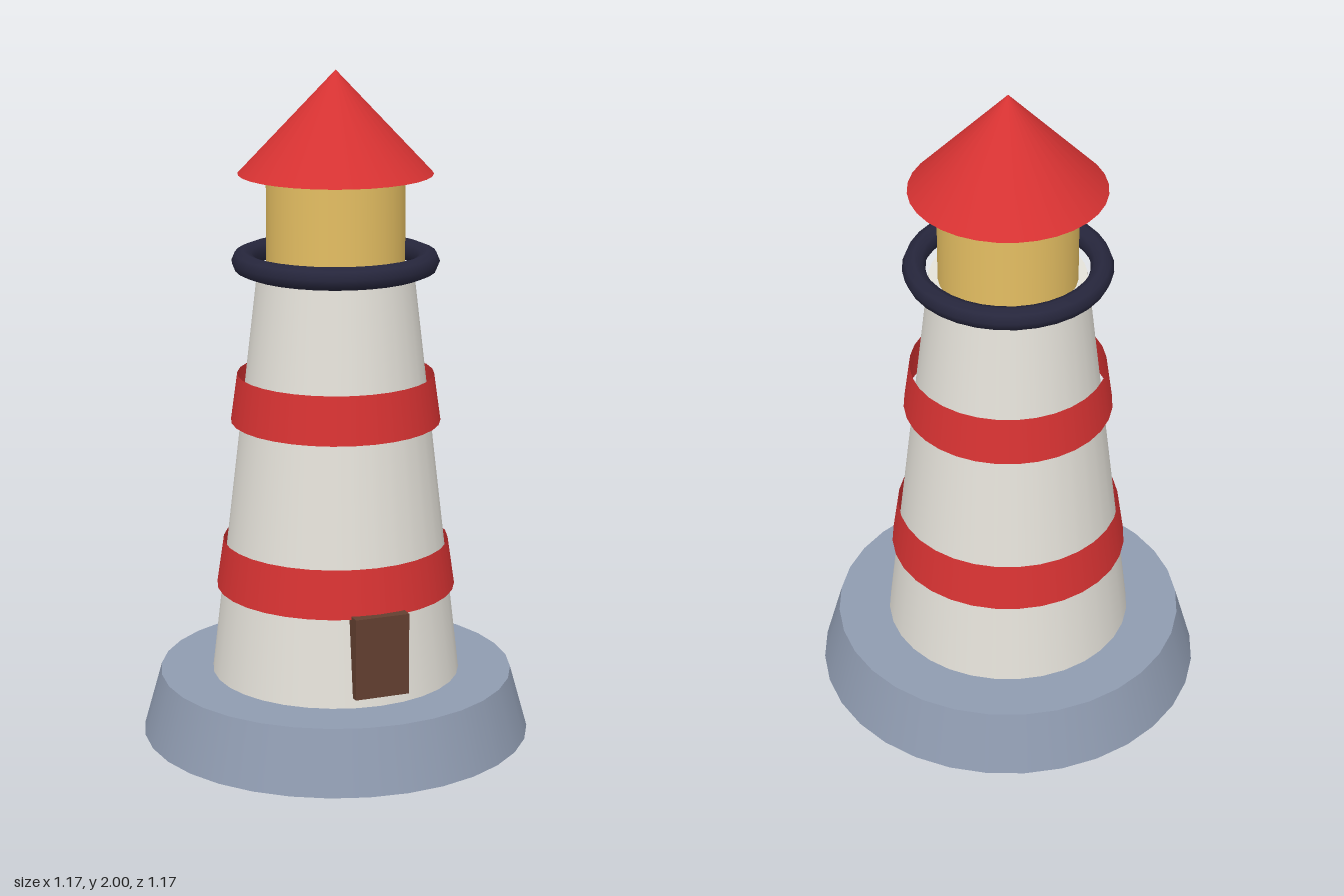
import * as THREE from 'three';

const SEG = 32;

function mat(name, color) {
  const m = new THREE.MeshStandardMaterial({ color });
  m.name = name;
  return m;
}

export function createModel() {
  const group = new THREE.Group();
  group.name = 'lighthouse';

  const stone = mat('stone', 0x8f9bb0);
  const white = mat('whitewash', 0xe4e1d9);
  const red = mat('red', 0xd63232);
  const glow = mat('lanternYellow', 0xe4be62);
  const iron = mat('darkIron', 0x26263c);
  const wood = mat('wood', 0x633f30);
  red.side = THREE.DoubleSide;

  const add = (name, geometry, material, y, z = 0) => {
    const mesh = new THREE.Mesh(geometry, material);
    mesh.name = name;
    mesh.position.set(0, y, z);
    group.add(mesh);
    return mesh;
  };

  // Tapered round section between two heights
  const section = (name, material, y0, y1, r0, r1, open = false) =>
    add(name, new THREE.CylinderGeometry(r1, r0, y1 - y0, SEG, 1, open), material, (y0 + y1) / 2);

  section('base', stone, 0, 0.19, 0.583, 0.53);
  section('tower', white, 0.19, 1.41, 0.372, 0.23);

  // Painted bands stand slightly proud of the wall as open sleeves
  section('lowerBand', red, 0.456, 0.6, 0.357, 0.336, true);
  section('upperBand', red, 0.963, 1.106, 0.311, 0.291, true);

  // Lantern room and roof
  section('lantern', glow, 1.41, 1.7, 0.203, 0.203);
  add('roof', new THREE.ConeGeometry(0.285, 0.3, SEG), red, 1.85);

  // Gallery rail
  add('galleryRail', new THREE.TorusGeometry(0.271, 0.034, 8, SEG), iron, 1.443).rotation.x = Math.PI / 2;

  // Door
  add('door', new THREE.BoxGeometry(0.166, 0.245, 0.06), wood, 0.343, 0.351);

  return group;
}
